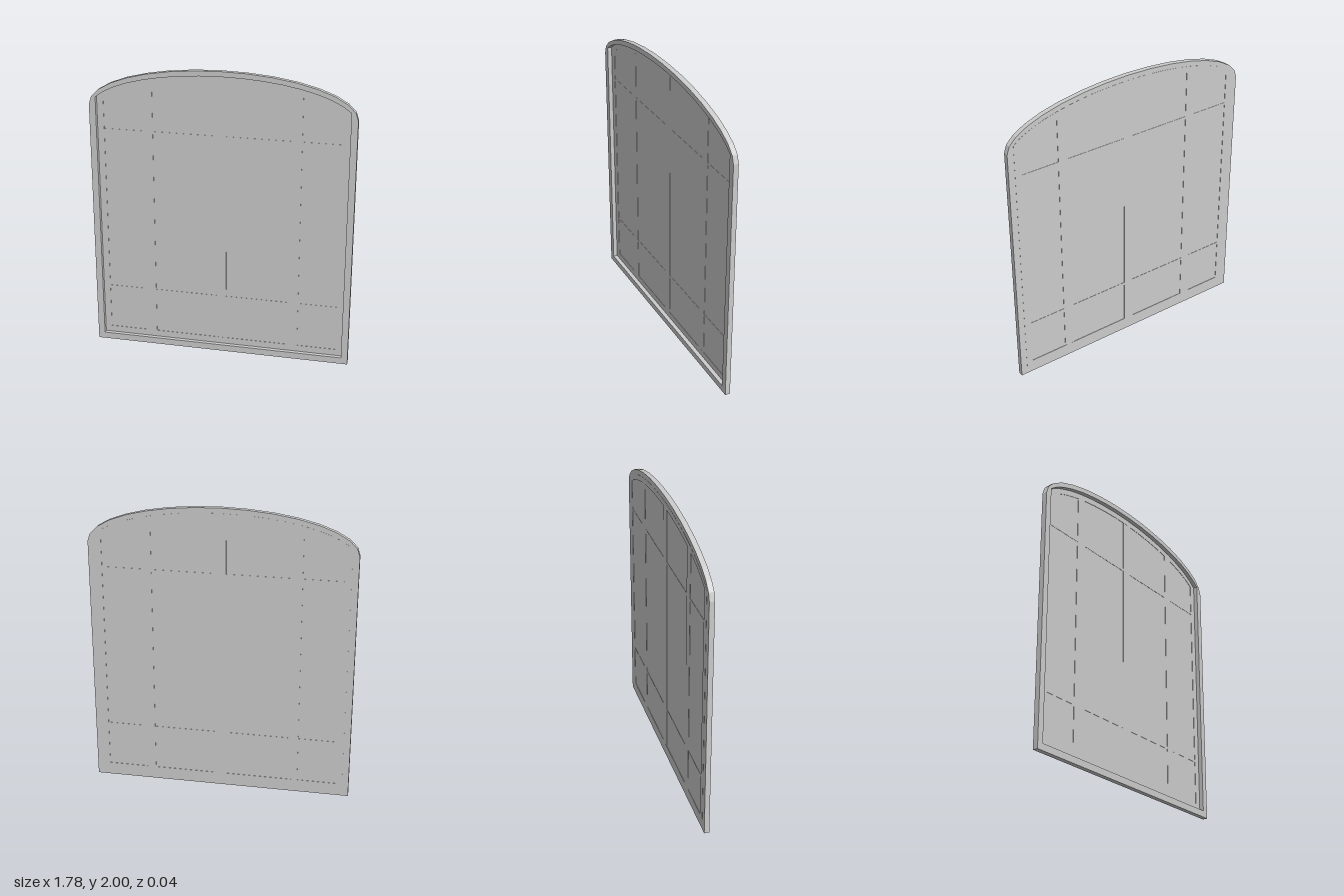
import * as THREE from 'three';

const HALF_W = 0.89, SPRING = 1.73, RISE = 0.27;
const material = new THREE.MeshStandardMaterial({ color: 0xcccccc });

// height of the elliptical arch above a given x
const archY = (x) => SPRING + RISE * Math.sqrt(Math.max(0, 1 - (x / HALF_W) ** 2));

// arched outline: half width, bottom edge, and drop below the outer arch
function outline(halfW, bottom, drop) {
  const pts = [new THREE.Vector2(-halfW, bottom), new THREE.Vector2(halfW, bottom)];
  const start = Math.acos(halfW / HALF_W), segments = 16;
  for (let i = 0; i <= segments; i++) {
    const a = start + (Math.PI - 2 * start) * (i / segments);
    pts.push(new THREE.Vector2(HALF_W * Math.cos(a), SPRING + RISE * Math.sin(a) - drop));
  }
  return pts;
}

// extrude an outline (optionally with a hole) between two depths
function slab(name, outer, inner, z0, z1) {
  const shape = new THREE.Shape(outer);
  if (inner) shape.holes.push(new THREE.Path(inner));
  const geo = new THREE.ExtrudeGeometry(shape, { depth: z1 - z0, bevelEnabled: false });
  geo.translate(0, 0, z0);
  const mesh = new THREE.Mesh(geo, material);
  mesh.name = name;
  return mesh;
}

function bar(name, x0, x1, y0, y1, z0, z1) {
  const mesh = new THREE.Mesh(new THREE.BoxGeometry(x1 - x0, y1 - y0, z1 - z0), material);
  mesh.position.set((x0 + x1) / 2, (y0 + y1) / 2, (z0 + z1) / 2);
  mesh.name = name;
  return mesh;
}

export function createModel() {
  const group = new THREE.Group();
  group.name = 'archedWindow';

  const outer = outline(HALF_W, 0, 0);
  const opening = outline(0.845, 0.045, 0.035);
  const paneEdge = outline(0.8, 0.09, 0.075);

  // deep outer frame, thin sash border set to the back, and the pane inside it
  group.add(slab('outerFrame', outer, opening, -0.017, 0.018));
  group.add(slab('sashBorder', opening, paneEdge, -0.018, -0.011));
  group.add(slab('pane', outline(0.82, 0.07, 0.055), null, -0.0155, -0.0135));

  // upright glazing bars
  for (const x of [-0.5, 0, 0.5]) {
    const top = archY(Math.abs(x) + 0.035) - 0.045;
    group.add(bar('uprightBar', x - 0.035, x + 0.035, 0.06, top, -0.0178, -0.0112));
  }

  // slim cross bars
  for (const y of [0.4, 1.55]) {
    group.add(bar('crossBar', -0.82, 0.82, y - 0.01, y + 0.01, -0.0172, -0.0118));
  }
  return group;
}
